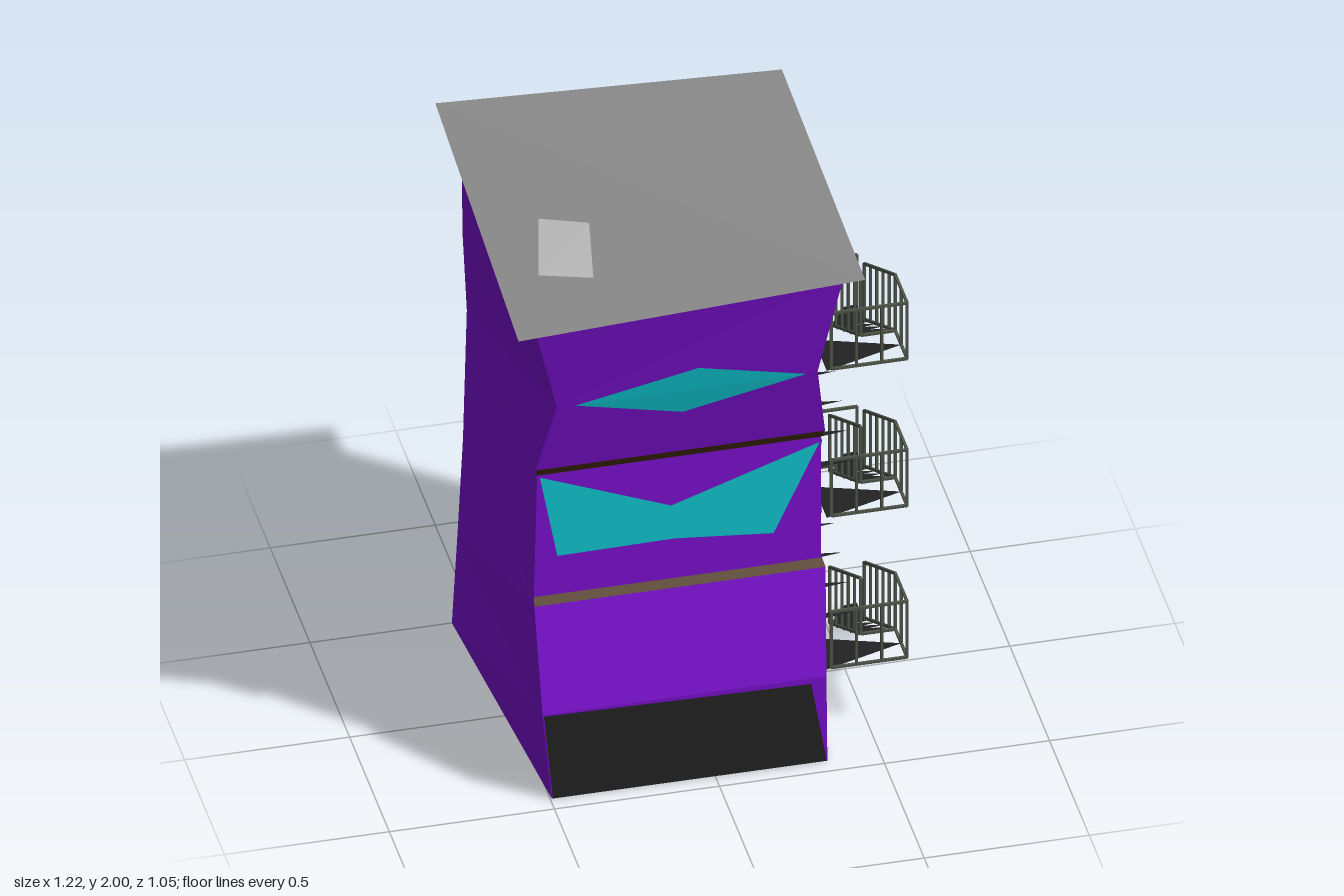
import * as THREE from 'three';

const mat = (name, color, side = THREE.DoubleSide) => {
  const m = new THREE.MeshStandardMaterial({ color, side });
  m.name = name;
  return m;
};

export function createModel() {
  const root = new THREE.Group();
  const purple = mat('purple wall', 0x7a10d0);
  const cyan = mat('cyan glass', 0x10c6d0);
  const black = mat('black', 0x232323);
  const brown = mat('brown wood', 0x4c320c);
  const grey = mat('roof grey', 0x888888);
  const pale = mat('pale grey', 0xd8d8d8);
  const slate = mat('slate pipe', 0x343a42);
  const iron = mat('iron rail', 0x50564a);

  // Mesh from a flat list of corner points, three per triangle
  const mesh = (name, pts, material, parent = root) => {
    const g = new THREE.BufferGeometry();
    g.setAttribute('position', new THREE.Float32BufferAttribute(pts.flat(), 3));
    g.computeVertexNormals();
    const m = new THREE.Mesh(g, material);
    m.name = name;
    parent.add(m);
    return m;
  };
  const quad = (a, b, c, d) => [a, b, c, a, c, d];

  // Crooked tower: rings of corners, front left, front right, back right, back left
  const ring = (yF, zF, fl, fr, yB, zB, br, bl) =>
    [[fl, yF, zF], [fr, yF, zF], [br, yB, zB], [bl, yB, zB]];
  const rings = [
    ring(0, 0.446, -0.495, 0.34, 0, -0.5, 0.39, -0.57),
    ring(0.31, 0.455, -0.525, 0.335, 0.31, -0.512, 0.375, -0.55),
    ring(0.645, 0.373, -0.53, 0.352, 0.645, -0.525, 0.36, -0.53),
    ring(0.66, 0.345, -0.525, 0.345, 0.65, -0.525, 0.36, -0.53),
    ring(1.095, 0.345, -0.515, 0.345, 1.1, -0.52, 0.355, -0.52),
    ring(1.13, 0.367, -0.525, 0.352, 1.105, -0.52, 0.355, -0.52),
    ring(1.39, 0.427, -0.475, 0.315, 1.4, -0.49, 0.366, -0.54),
    [[-0.555, 1.715, 0.49], [0.38, 1.764, 0.49], [0.38, 1.805, -0.445], [-0.555, 1.84, -0.445]],
  ];
  const wallPts = [], ledgePts = [];
  for (let r = 0; r < rings.length - 1; r++) {
    for (let i = 0; i < 4; i++) {
      const j = (i + 1) % 4;
      const isLedge = (r === 2 || r === 4) && i < 2;
      (isLedge ? ledgePts : wallPts).push(
        ...quad(rings[r][i], rings[r][j], rings[r + 1][j], rings[r + 1][i]));
    }
  }
  const walls = mesh('towerWalls', wallPts, purple);
  const ledges = mesh('ledges', ledgePts, brown);

  // Painted plates: a polygon fanned from its first corner and laid on the wall
  const ray = new THREE.Raycaster();
  const lay = (face, u, v) => {
    const front = face === 'front';
    ray.set(front ? new THREE.Vector3(u, v, 2) : new THREE.Vector3(2, v, u),
      front ? new THREE.Vector3(0, 0, -1) : new THREE.Vector3(-1, 0, 0));
    const hit = ray.intersectObjects([walls, ledges])[0];
    const p = hit ? hit.point : new THREE.Vector3(front ? u : 0.35, v, front ? 0.35 : u);
    return front ? [u, v, p.z + 0.005] : [p.x + 0.005, v, u];
  };
  const plate = (name, face, corners, material, n = 6) => {
    const pts = [];
    for (let k = 1; k < corners.length - 1; k++) {
      const [a, b, c] = [corners[0], corners[k], corners[k + 1]];
      const at = (i, j) => lay(face,
        a[0] + ((b[0] - a[0]) * i + (c[0] - a[0]) * j) / n,
        a[1] + ((b[1] - a[1]) * i + (c[1] - a[1]) * j) / n);
      for (let i = 0; i < n; i++) {
        for (let j = 0; j < n - i; j++) {
          pts.push(at(i, j), at(i + 1, j), at(i, j + 1));
          if (i + j < n - 1) pts.push(at(i + 1, j), at(i + 1, j + 1), at(i, j + 1));
        }
      }
    }
    mesh(name, pts, material);
  };
  plate('shopFront', 'front', [[-0.493, 0.003], [0.337, 0.003], [0.288, 0.293], [-0.522, 0.308]], black);
  plate('middleWindow', 'front', [[-0.11, 0.925], [-0.508, 1.09], [-0.455, 0.8], [-0.1, 0.805],
    [0.2, 0.775], [0.34, 1.08]], cyan);
  plate('upperWindow', 'front', [[-0.42, 1.39], [-0.09, 1.3], [0.28, 1.39], [-0.05, 1.475]], cyan);
  // Side plates use z and y
  plate('sideWindow', 'right', [[-0.3, 0.975], [-0.44, 0.89], [-0.513, 0.88], [-0.513, 1.095], [-0.44, 1.06]], cyan);
  plate('upperDoor', 'right', [[0.415, 1.7], [0.33, 1.41], [0.215, 1.41], [0.21, 1.65]], brown);
  plate('middleDoorTop', 'right', [[0.335, 1.075], [0.285, 0.95], [0.235, 1.075]], black);
  plate('middleDoorBase', 'right', [[0.335, 0.81], [0.24, 0.81], [0.285, 0.95]], black);
  plate('lowerDoor', 'right', [[0.31, 0.36], [0.25, 0.36], [0.235, 0.42], [0.275, 0.485], [0.31, 0.44]], brown);

  // Thin folded roof sheet
  const FL = [-0.615, 1.717, 0.527], FR = [0.435, 1.767, 0.527];
  const BR = [0.435, 1.81, -0.522], BL = [-0.615, 1.86, -0.522];
  mesh('roof', [FL, FR, BL, FR, BR, BL], grey);

  // Wedge chimney with a sloping ridge
  const cl = [-0.515, 1.825, 0.36], cf = [-0.36, 1.825, 0.41], cb = [-0.36, 1.825, 0.265];
  const tl = [-0.505, 2, 0.32], tr = [-0.36, 1.985, 0.355];
  mesh('chimney', [...quad(cl, cf, tr, tl), ...quad(cb, cl, tl, tr), cf, cb, tr, cl, cb, cf], pale);

  // Drain pipe near the back corner
  const pipePath = new THREE.CurvePath();
  const pipePts = [[0.35, 1.28], [0.375, 1.265], [0.39, 1.22], [0.39, 0.6], [0.38, 0.565], [0.355, 0.555]]
    .map(([x, y]) => new THREE.Vector3(x, y, -0.462));
  for (let i = 0; i < pipePts.length - 1; i++) pipePath.add(new THREE.LineCurve3(pipePts[i], pipePts[i + 1]));
  const pipe = new THREE.Mesh(new THREE.TubeGeometry(pipePath, 40, 0.012, 6), slate);
  pipe.name = 'drainPipe';
  root.add(pipe);

  // Fire escape
  const escape = new THREE.Group();
  escape.name = 'fireEscape';
  root.add(escape);
  const rod = (a, b, name = 'railBar') => {
    const p = new THREE.Vector3(...a), q = new THREE.Vector3(...b);
    const m = new THREE.Mesh(new THREE.BoxGeometry(0.008, 0.008, p.distanceTo(q)), iron);
    m.name = name;
    m.position.copy(p).add(q).multiplyScalar(0.5);
    m.lookAt(q);
    escape.add(m);
  };
  const H = 0.2, IN = 0.375, MID = 0.5, OUT = 0.605;
  // Railing between two floor points, with n + 1 posts
  const railing = (a, b, n) => {
    const up = ([x, y, z]) => [x, y + H, z];
    rod(a, b);
    rod(up(a), up(b));
    for (let i = 0; i <= n; i++) {
      const p = a.map((v, k) => v + (b[k] - v) * i / n);
      rod(p, up(p), 'railPost');
    }
  };
  // Sloping flight with small triangular treads
  const flight = (x0, x1, rails, yFront, yBack, zBack) => {
    rails.forEach(x => railing([x, yFront, 0.2], [x, yBack, zBack], 5));
    [-0.12, -0.035, 0.05, 0.135].forEach(z => {
      const y = yFront + (yBack - yFront) * (0.2 - z) / (0.2 - zBack);
      mesh('tread', [[x0, y, z + 0.018], [x1, y, z], [x0, y, z - 0.018]], black, escape);
    });
  };
  [0.262, 0.807, 1.335].forEach((y, i) => {
    // Front landing
    mesh('landing', [[0.36, y, 0.355], [OUT, y, 0.275], [0.36, y, 0.19]], black, escape);
    railing([OUT, y, 0.2], [OUT, y, 0.348], 2);
    railing([IN, y, 0.348], [OUT, y, 0.348], 3);
    rod([MID, y, 0.2], [OUT, y, 0.2]);
    // Outer flight down to the back landing
    flight(MID, OUT, [MID, OUT], y, y - 0.225, -0.19);
    const yb = y - 0.235;
    mesh('backLanding', [[MID, yb, -0.19], [OUT, yb, -0.19], [0.565, yb, -0.28],
      [OUT, yb, -0.19], [OUT, yb, -0.285], [0.565, yb, -0.28],
      [0.36, yb, -0.285], [0.36, yb, -0.19], [MID, yb, -0.24]], black, escape);
    // Inner flight up to the next back landing
    if (i < 2) {
      const yTop = y + 0.272;
      flight(IN, MID, [IN], y, yTop, -0.28);
      railing([IN, yTop, -0.282], [OUT, yTop, -0.282], 1);
      rod([OUT, yTop, -0.282], [OUT, yTop, -0.19]);
    }
  });
  return root;
}
